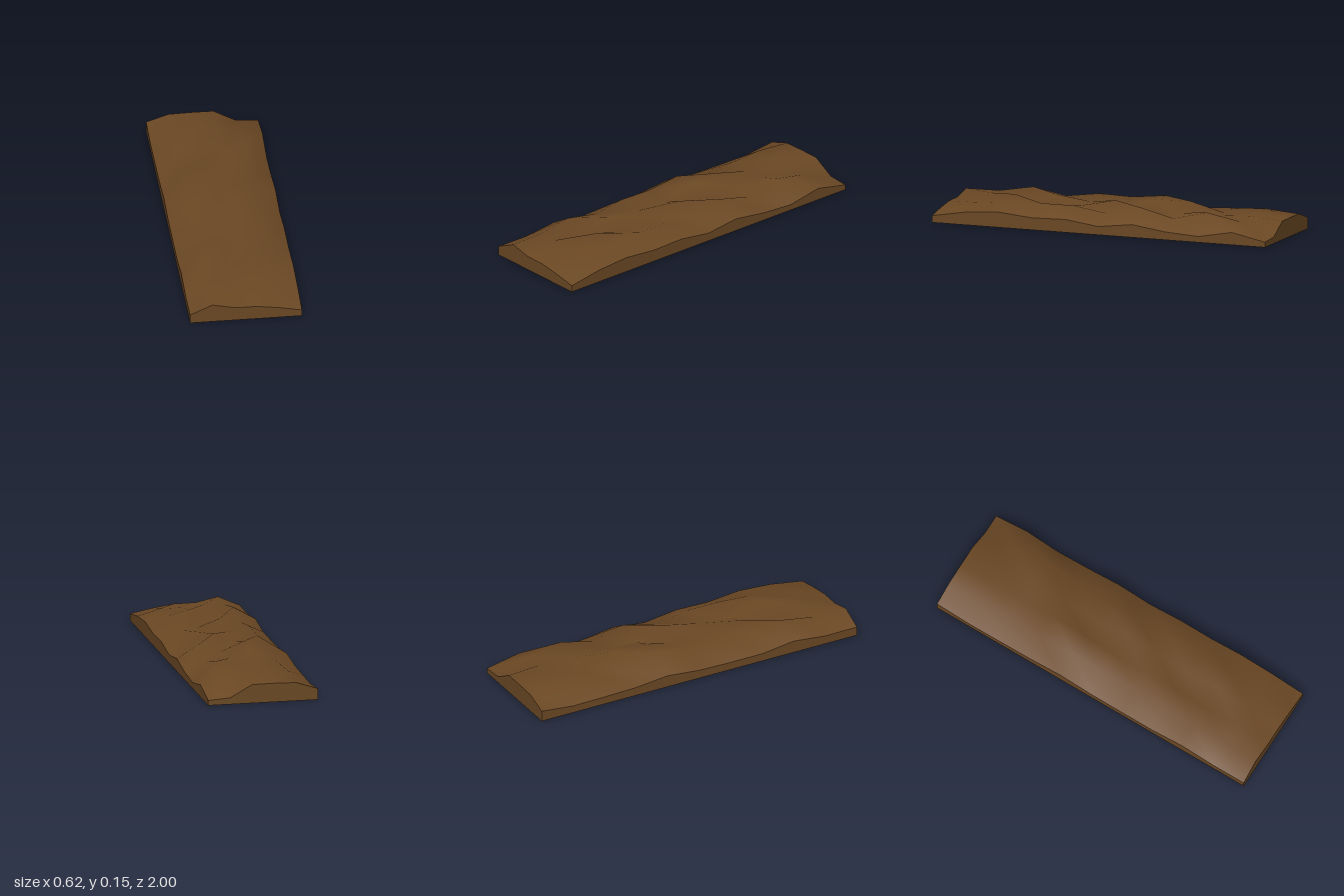
import * as THREE from 'three';

const WIDTH = 0.625, LENGTH = 2, COLS = 5, ROWS = 10;

// Ground heights: one row per cross-section from back (z = -1) to front (z = 1), right to left across x
const heights = [
  [0.063, 0.104, 0.107, 0.106, 0.037, 0.029],
  [0.042, 0.12, 0.12, 0.12, 0.11, 0.07],
  [0.045, 0.11, 0.103, 0.11, 0.147, 0.033],
  [0.05, 0.1, 0.154, 0.11, 0.1, 0.045],
  [0.07, 0.152, 0.15, 0.1, 0.148, 0.072],
  [0.05, 0.13, 0.1, 0.153, 0.1, 0.047],
  [0.046, 0.135, 0.11, 0.11, 0.13, 0.073],
  [0.046, 0.108, 0.135, 0.09, 0.13, 0.068],
  [0.072, 0.145, 0.08, 0.145, 0.115, 0.086],
  [0.05, 0.11, 0.118, 0.107, 0.107, 0.072],
  [0.052, 0.108, 0.081, 0.08, 0.062, 0.038],
];

// Flat-bottomed slab whose top edge and surface follow the heights;
// the box keeps separate vertices per side, so the rim stays sharp and the top smooth
function moundGeometry() {
  const geometry = new THREE.BoxGeometry(WIDTH, 1, LENGTH, COLS, 1, ROWS);
  const pos = geometry.attributes.position;
  for (let i = 0; i < pos.count; i++) {
    const col = Math.round((pos.getX(i) / WIDTH + 0.5) * COLS);
    const row = Math.round((pos.getZ(i) / LENGTH + 0.5) * ROWS);
    pos.setY(i, pos.getY(i) > 0 ? heights[row][col] : 0);
  }
  geometry.computeVertexNormals();
  return geometry;
}

export function createModel() {
  const model = new THREE.Group();
  model.name = 'dirtMound';

  // Earth bed
  const soil = new THREE.Mesh(moundGeometry(), new THREE.MeshStandardMaterial({ color: 0x6b4824 }));
  soil.name = 'soil';
  model.add(soil);

  return model;
}
